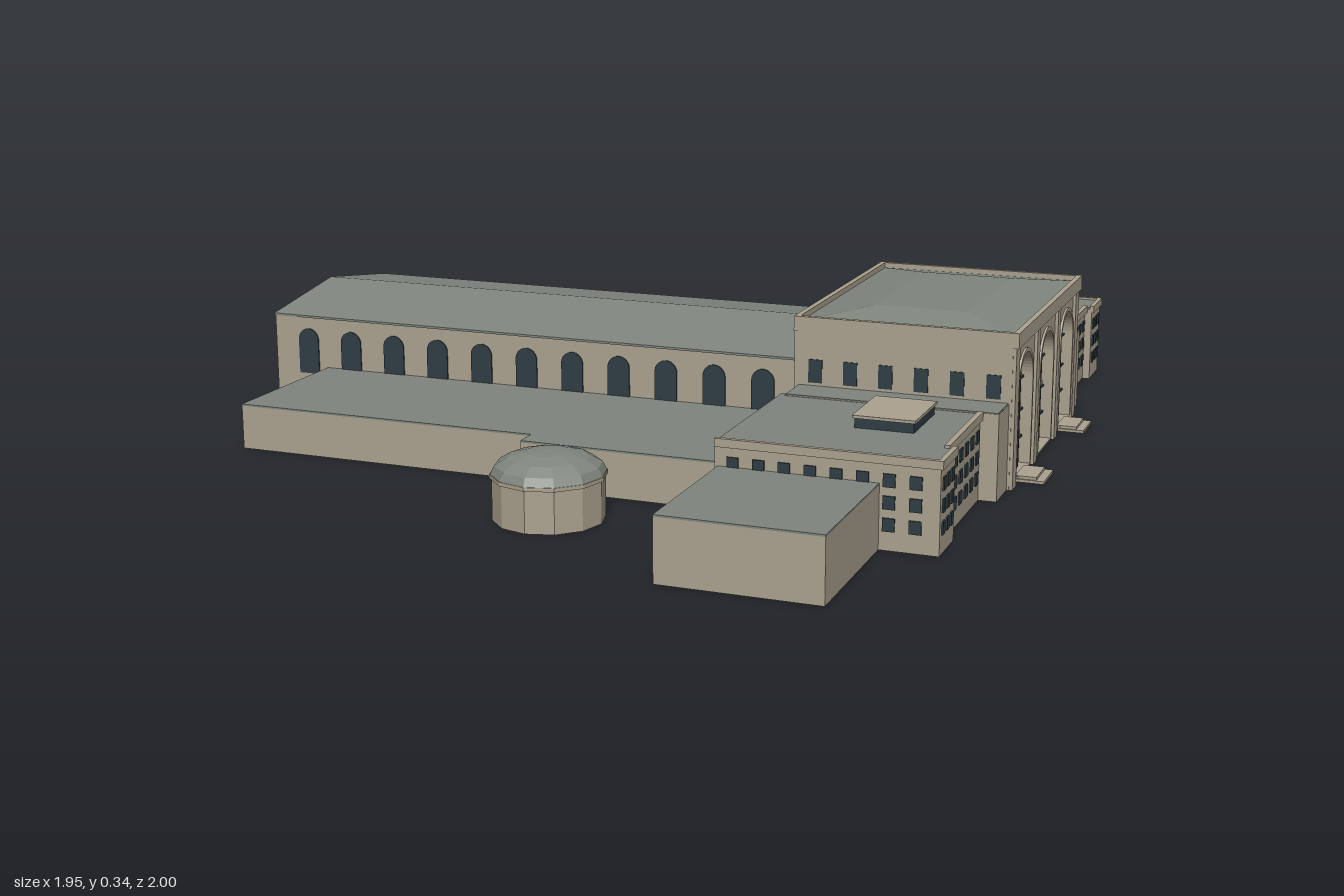
import * as THREE from 'three';

const stone = new THREE.MeshStandardMaterial({ color: 0xaba28f });
const roofing = new THREE.MeshStandardMaterial({ color: 0x7f867e });
const glass = new THREE.MeshStandardMaterial({ color: 0x2f3d44 });
const stoneFlat = stone.clone();
const roofFlat = roofing.clone();
stoneFlat.flatShading = roofFlat.flatShading = true;

function add(parent, name, geometry, material) {
  const mesh = new THREE.Mesh(geometry, material);
  mesh.name = name;
  parent.add(mesh);
  return mesh;
}

// Box given by its limits on each axis
function block(parent, name, x0, x1, y0, y1, z0, z1, material = stone) {
  const mesh = add(parent, name, new THREE.BoxGeometry(x1 - x0, y1 - y0, z1 - z0), material);
  mesh.position.set((x0 + x1) / 2, (y0 + y1) / 2, (z0 + z1) / 2);
  return mesh;
}

// Round-headed outline, traced onto a Shape or a Path
function arch(path, cx, width, y0, y1) {
  const r = width / 2;
  path.moveTo(cx - r, y0);
  path.lineTo(cx + r, y0);
  path.lineTo(cx + r, y1 - r);
  path.absarc(cx, y1 - r, r, 0, Math.PI, false);
  path.lineTo(cx - r, y0);
  return path;
}

function extrude(shape, depth) {
  return new THREE.ExtrudeGeometry(shape, { depth, bevelEnabled: false, curveSegments: 12 });
}

// Thin window pane on a wall; turn is the wall's heading about y
function pane(parent, name, x, z, turn, width, y0, y1, round) {
  const geometry = round
    ? extrude(arch(new THREE.Shape(), 0, width, y0, y1), 0.003)
    : new THREE.BoxGeometry(width, y1 - y0, 0.006).translate(0, (y0 + y1) / 2, 0);
  const mesh = add(parent, name, geometry, glass);
  mesh.position.set(x, 0, z);
  mesh.rotation.y = turn;
}

// Great hall, centred on its own x = 0
function buildHall(parent) {
  const hall = new THREE.Group();
  hall.name = 'greatHall';
  hall.position.x = -0.025;
  parent.add(hall);
  const w = 0.32, zBack = 0.345, zFront = 0.803, pitch = 0.213;

  block(hall, 'hallCore', -w + 0.005, w - 0.005, 0, 0.3, zBack + 0.02, zFront - 0.02, glass);
  for (const side of [-1, 1]) {
    block(hall, 'hallSideWall', side * w - 0.006, side * w + 0.006, 0, 0.31, zBack, zFront);
    for (let i = 0; i < 6; i++)
      pane(hall, 'hallSideWindow', side * (w + 0.005), 0.385 + i * 0.076, side * Math.PI / 2, 0.03, 0.19, 0.24, false);
  }

  // Front and back walls, each pierced by three tall arches
  for (const front of [true, false]) {
    const face = new THREE.Group();
    face.name = front ? 'hallFrontFace' : 'hallBackFace';
    face.position.z = front ? zFront : zBack;
    if (!front) face.rotation.y = Math.PI;
    hall.add(face);
    const wall = new THREE.Shape([[-w, 0], [w, 0], [w, 0.31], [-w, 0.31]].map(p => new THREE.Vector2(...p)));
    for (let i = -1; i <= 1; i++) {
      const cx = i * pitch;
      wall.holes.push(arch(new THREE.Path(), cx, 0.13, 0.01, 0.267));
      const trim = arch(new THREE.Shape(), cx, 0.146, 0.01, 0.275);
      trim.holes.push(arch(new THREE.Path(), cx, 0.13, 0.0101, 0.267));
      add(face, 'archSurround', extrude(trim, 0.005), stone);
      // Glazing bars
      for (const dx of [-0.033, 0, 0.033])
        block(face, 'mullion', cx + dx - 0.002, cx + dx + 0.002, 0.01, dx ? 0.25 : 0.265, -0.02, -0.014, glass);
      for (const y of [0.07, 0.13, 0.2])
        block(face, 'transom', cx - 0.065, cx + 0.065, y - 0.002, y + 0.002, -0.02, -0.014, glass);
    }
    add(face, 'archedWall', extrude(wall, 0.02).translate(0, 0, -0.02), stone);
    for (const x of [-0.5, 0.5])
      block(face, 'pilaster', x * pitch - 0.014, x * pitch + 0.014, 0, 0.3, -0.005, 0.007);
    for (const x of [-0.308, 0.308])
      block(face, 'cornerPilaster', x - 0.017, x + 0.017, 0, 0.3, -0.005, 0.007);
  }

  // Clock in the middle arch
  const clock = add(hall, 'clock', new THREE.CylinderGeometry(0.007, 0.007, 0.008, 16), stone);
  clock.rotation.x = Math.PI / 2;
  clock.position.set(0, 0.15, zFront - 0.01);

  // Cornice, parapet and shallow hipped roof
  block(hall, 'cornice', -0.328, 0.328, 0.298, 0.318, 0.337, 0.815);
  for (const s of [-1, 1]) {
    block(hall, 'parapetSide', s * 0.322 - 0.006, s * 0.322 + 0.006, 0.318, 0.33, 0.337, 0.815);
    const z = s > 0 ? 0.809 : 0.343;
    block(hall, 'parapetLong', -0.328, 0.328, 0.318, 0.33, z - 0.006, z + 0.006);
  }
  const roof = new THREE.BoxGeometry(0.632, 0.02, 0.454);
  const p = roof.attributes.position;
  for (let i = 0; i < p.count; i++)
    if (p.getY(i) > 0) p.setXYZ(i, p.getX(i) * 0.62, p.getY(i), p.getZ(i) * 0.45);
  roof.computeVertexNormals();
  add(hall, 'hallRoof', roof, roofFlat).position.set(0, 0.328, 0.576);

  // Low steps before the outer arches
  for (const s of [-1, 1]) {
    block(hall, 'lowerStep', s * pitch - 0.047, s * pitch + 0.047, 0, 0.006, 0.8, 0.862);
    block(hall, 'upperStep', s * pitch - 0.042, s * pitch + 0.042, 0.006, 0.012, 0.8, 0.845);
  }
}

// Office wing; s = 1 on the model's left, -1 on its right
function buildWing(parent, s, lanternX, lanternZ) {
  const wing = new THREE.Group();
  wing.name = s > 0 ? 'leftWing' : 'rightWing';
  wing.position.x = -0.025;
  parent.add(wing);
  const span = (name, a, b, ...rest) => block(wing, name, Math.min(s * a, s * b), Math.max(s * a, s * b), ...rest);

  span('link', 0.31, 0.415, 0, 0.182, 0.347, 0.798);
  span('linkRoof', 0.312, 0.413, 0.18, 0.1835, 0.349, 0.796, roofing);
  span('wingBody', 0.4, 0.787, 0, 0.176, 0.333, 0.76);
  span('wingRoof', 0.4, 0.785, 0.174, 0.18, 0.335, 0.758, roofing);
  span('endPavilion', 0.682, 0.787, 0, 0.176, 0.7, 0.777);
  span('pavilionRoof', 0.684, 0.785, 0.174, 0.18, 0.7, 0.775, roofing);
  span('frontParapet', 0.415, 0.682, 0.168, 0.185, 0.755, 0.766);
  span('pavilionParapet', 0.68, 0.79, 0.168, 0.185, 0.772, 0.782);
  span('endParapet', 0.78, 0.79, 0.168, 0.185, 0.333, 0.782);

  // Three floors of windows
  for (const y of [0.038, 0.081, 0.124]) {
    for (let i = 0; i < 6; i++)
      pane(wing, 'wingWindow', s * (0.437 + i * 0.0445), 0.76, 0, 0.022, y, y + 0.026, false);
    for (let i = 0; i < 3; i++)
      pane(wing, 'pavilionWindow', s * (0.705 + i * 0.03), 0.777, 0, 0.016, y, y + 0.026, false);
    for (let i = 0; i < 8; i++)
      pane(wing, 'endWindow', s * 0.787, 0.37 + i * 0.0515, Math.PI / 2, 0.024, y, y + 0.026, false);
  }

  // Roof lantern
  block(parent, 'lanternGlazing', lanternX - 0.078, lanternX + 0.078, 0.178, 0.2, lanternZ - 0.06, lanternZ + 0.06, glass);
  block(parent, 'lanternLid', lanternX - 0.082, lanternX + 0.082, 0.2, 0.206, lanternZ - 0.064, lanternZ + 0.064);
}

// Long gabled concourse behind the hall
function buildConcourse(parent) {
  const c = new THREE.Group();
  c.name = 'concourse';
  c.position.x = -0.019;
  parent.add(c);
  const h = 0.257, z0 = -0.972, length = 1.32;
  const outline = pts => new THREE.Shape(pts.map(p => new THREE.Vector2(...p)));
  add(c, 'concourseWalls', extrude(outline([[-h, 0], [h, 0], [h, 0.217], [0, 0.256], [-h, 0.217]]), length), stone)
    .position.z = z0;
  const e = h + 0.003;
  add(c, 'concourseRoof', extrude(outline([[-e, 0.216], [0, 0.255], [e, 0.216], [e, 0.221], [0, 0.26], [-e, 0.221]]), length), roofing)
    .position.z = z0 - 0.002;
  for (const s of [-1, 1])
    for (let i = 0; i < 11; i++)
      pane(c, 'concourseArch', s * h, 0.243 - i * 0.1127, s * Math.PI / 2, 0.052, 0.083, 0.19, true);
  for (let i = 0; i < 6; i++)
    pane(c, 'concourseEndArch', (i - 2.5) * 0.08, z0, Math.PI, 0.036, 0.07, 0.15, true);
}

// Plain flat-roofed block
function flatBlock(parent, name, x0, x1, height, z0, z1) {
  block(parent, name, x0, x1, 0, height - 0.004, z0, z1);
  block(parent, name + 'Roof', x0, x1, height - 0.004, height, z0, z1, roofing);
}

export function createModel() {
  const model = new THREE.Group();
  model.name = 'railwayStation';
  const site = new THREE.Group();
  site.name = 'turnedSite';
  site.rotation.y = 0.314;
  model.add(site);

  buildHall(site);
  buildWing(site, 1, 0.474, 0.469);
  buildWing(site, -1, -0.552, 0.615);
  buildConcourse(site);
  flatBlock(site, 'endBlock', -1.14, -0.81, 0.13, 0.339, 0.66);
  flatBlock(site, 'rearAnnex', -0.638, -0.27, 0.1, -0.836, -0.138);
  flatBlock(site, 'frontAnnex', -0.689, -0.27, 0.1, -0.138, 0.345);

  // Round house with a shallow dome
  const drum = new THREE.Group();
  drum.name = 'roundHouse';
  drum.position.set(-0.852, 0, 0.002);
  site.add(drum);
  add(drum, 'drumWall', new THREE.CylinderGeometry(0.112, 0.112, 0.09, 12), stoneFlat).position.y = 0.045;
  add(drum, 'drumCornice', new THREE.CylinderGeometry(0.116, 0.116, 0.008, 12), stoneFlat).position.y = 0.09;
  add(drum, 'dome', new THREE.SphereGeometry(0.115, 12, 4, 0, Math.PI * 2, 0, Math.PI / 2).scale(1, 0.4, 1), roofFlat)
    .position.y = 0.093;
  return model;
}
